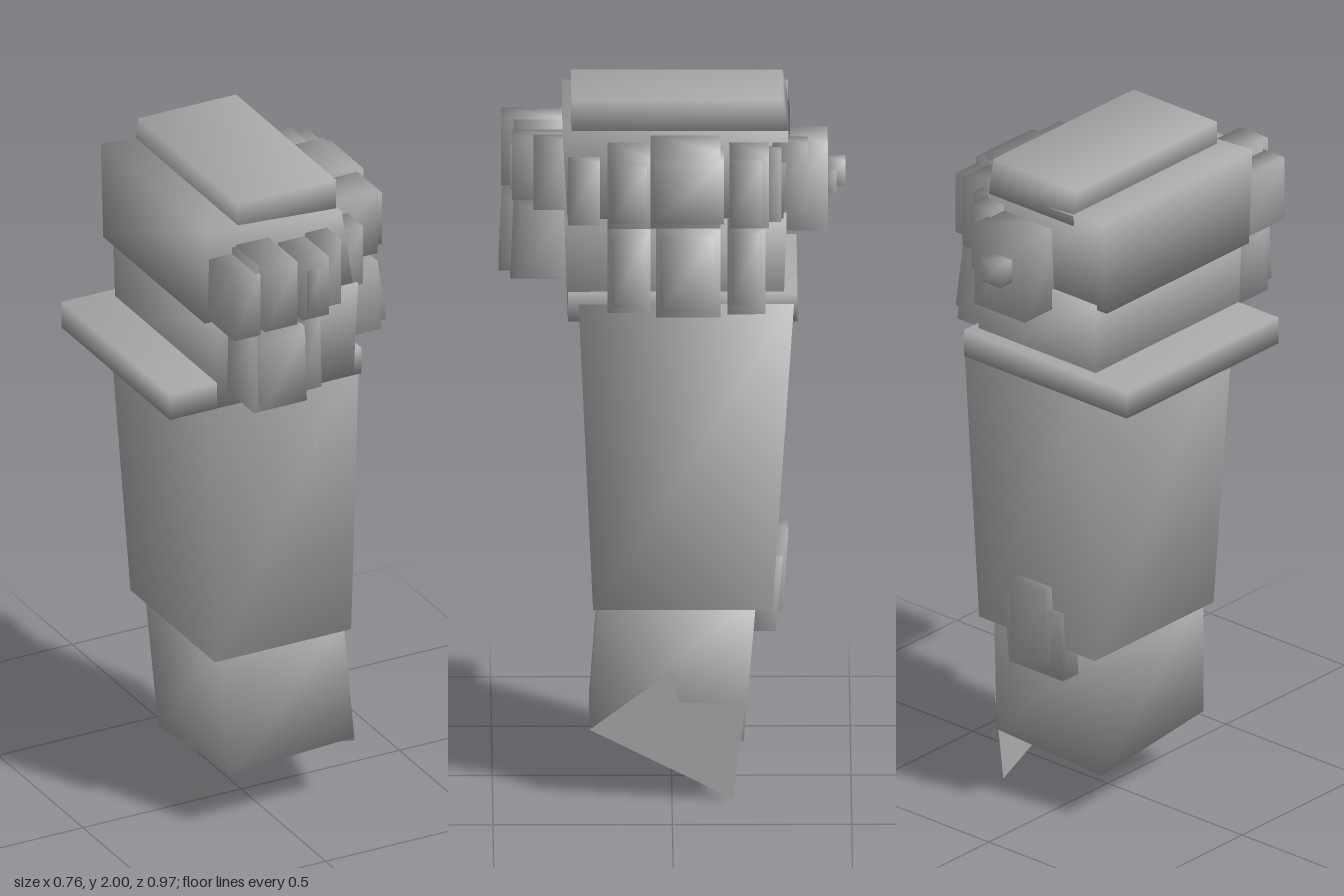
import * as THREE from 'three';
import { mergeVertices } from 'three/addons/utils/BufferGeometryUtils.js';

export function createModel() {
  const model = new THREE.Group();
  const stone = new THREE.MeshStandardMaterial({ color: 0xaaaaaa, side: THREE.DoubleSide });
  stone.name = 'grey stone';

  function add(name, geometry, parent = model) {
    const mesh = new THREE.Mesh(geometry, stone);
    mesh.name = name;
    parent.add(mesh);
    return mesh;
  }

  // Six-sided block with softly shaded corners; each end is [x0, x1, z0, z1, y].
  // The optional rule nudges single corners.
  function block(name, low, high, parent, rule) {
    let g = new THREE.BoxGeometry(1, 1, 1);
    g.deleteAttribute('normal');
    g.deleteAttribute('uv');
    g = mergeVertices(g);
    const p = g.attributes.position;
    for (let i = 0; i < p.count; i++) {
      const e = p.getY(i) < 0 ? low : high;
      const v = new THREE.Vector3(p.getX(i) < 0 ? e[0] : e[1], e[4], p.getZ(i) < 0 ? e[2] : e[3]);
      if (rule) rule(v);
      p.setXYZ(i, v.x, v.y, v.z);
    }
    g.computeVertexNormals();
    return add(name, g, parent);
  }

  // Foot with a sloping underside
  block('foot', [-0.155, 0.235, -0.2, 0.23, 0.19], [-0.18, 0.215, -0.235, 0.2, 0.57], model, (v) => {
    if (v.y < 0.3) v.y += (v.x > 0 ? 0.02 : 0) - (v.z < 0 ? 0.045 : 0);
  });

  // Thin jagged shard on the left side of the foot
  const shard = new THREE.Shape([[0.23, 0.2], [-0.17, 0], [-0.205, 0.27], [-0.02, 0.28], [0.0, 0.37]]
    .map(([z, y]) => new THREE.Vector2(z, y)));
  add('footShard', new THREE.ShapeGeometry(shard).rotateY(-Math.PI / 2).translate(0.237, 0, 0));

  // Tapered shaft and the ledge on top of it
  block('shaft', [-0.2, 0.23, -0.28, 0.22, 0.545], [-0.24, 0.234, -0.34, 0.26, 1.43]);
  block('ledge', [-0.38, 0.225, -0.35, 0.29, 1.38], [-0.38, 0.225, -0.35, 0.29, 1.46]);

  // Neck, head and cap
  block('neck', [-0.23, 0.2, -0.31, 0.29, 1.38], [-0.235, 0.21, -0.32, 0.3, 1.67]);
  block('head', [-0.27, 0.2, -0.31, 0.29, 1.655], [-0.27, 0.155, -0.325, 0.305, 1.94], model, (v) => {
    if (v.y > 1.9 && v.x > 0) v.y = 1.91;
  });
  block('cap', [-0.16, 0.15, -0.33, 0.28, 1.9], [-0.16, 0.15, -0.31, 0.28, 2.0]);

  // Back patch on the lower shaft
  const patch = new THREE.Group();
  patch.name = 'backPatch';
  model.add(patch);
  block('patchBase', [-0.09, 0.11, -0.29, -0.2, 0.45], [-0.09, 0.11, -0.31, -0.22, 0.66], patch);
  block('patchFace', [-0.05, 0.08, -0.31, -0.22, 0.5], [-0.05, 0.08, -0.325, -0.25, 0.73], patch);

  // Studs: [x0, x1, y0, y1, z0, z1], with a lean along x or z at the bottom
  const studs = (name, list, leanX, leanZ) => {
    const group = new THREE.Group();
    group.name = name;
    model.add(group);
    for (const [x0, x1, y0, y1, z0, z1] of list) {
      block('stud', [x0 + leanX, x1 + leanX, z0 + leanZ, z1 + leanZ, y0], [x0, x1, z0, z1, y1], group);
    }
  };

  studs('frontUpperStuds', [
    [-0.262, -0.18, 1.67, 1.86, 0.28, 0.45],
    [-0.19, -0.07, 1.68, 1.88, 0.28, 0.44],
    [-0.178, -0.075, 1.69, 1.885, 0.3, 0.475],
    [-0.045, 0.04, 1.68, 1.86, 0.28, 0.445],
    [-0.03, 0.01, 1.7, 1.83, 0.3, 0.45],
    [0.04, 0.11, 1.67, 1.87, 0.28, 0.385],
  ], 0, 0);

  studs('frontLowerStuds', [
    [-0.2, -0.035, 1.43, 1.66, 0.28, 0.44],
    [-0.185, -0.05, 1.45, 1.66, 0.3, 0.472],
    [-0.04, 0.025, 1.45, 1.66, 0.28, 0.42],
  ], 0, 0.01);

  studs('sideUpperStuds', [
    [0.14, 0.23, 1.66, 1.84, 0.2, 0.29],
    [0.14, 0.335, 1.68, 1.88, 0.06, 0.18],
    [0.2, 0.355, 1.7, 1.86, 0.07, 0.17],
    [0.14, 0.33, 1.68, 1.9, -0.135, 0.06],
    [0.2, 0.36, 1.7, 1.88, -0.145, 0.05],
    [0.14, 0.3, 1.67, 1.88, -0.27, -0.16],
    [0.2, 0.345, 1.69, 1.87, -0.25, -0.16],
  ], 0, 0);

  studs('sideLowerStuds', [
    [0.19, 0.32, 1.44, 1.67, 0.06, 0.18],
    [0.21, 0.34, 1.46, 1.65, 0.07, 0.17],
    [0.19, 0.33, 1.43, 1.67, -0.135, 0.045],
    [0.21, 0.35, 1.45, 1.66, -0.12, 0.035],
    [0.19, 0.3, 1.43, 1.67, -0.26, -0.155],
    [0.21, 0.32, 1.46, 1.66, -0.245, -0.165],
  ], 0.028, 0);

  studs('backStuds', [
    [-0.075, 0.11, 1.61, 1.86, -0.435, -0.28],
    [-0.028, 0.04, 1.72, 1.79, -0.485, -0.42],
    [0.03, 0.056, 1.7, 1.77, -0.46, -0.42],
    [0.1, 0.17, 1.68, 1.88, -0.38, -0.28],
    [0.14, 0.23, 1.67, 1.87, -0.305, -0.25],
  ], 0, 0);

  return model;
}
